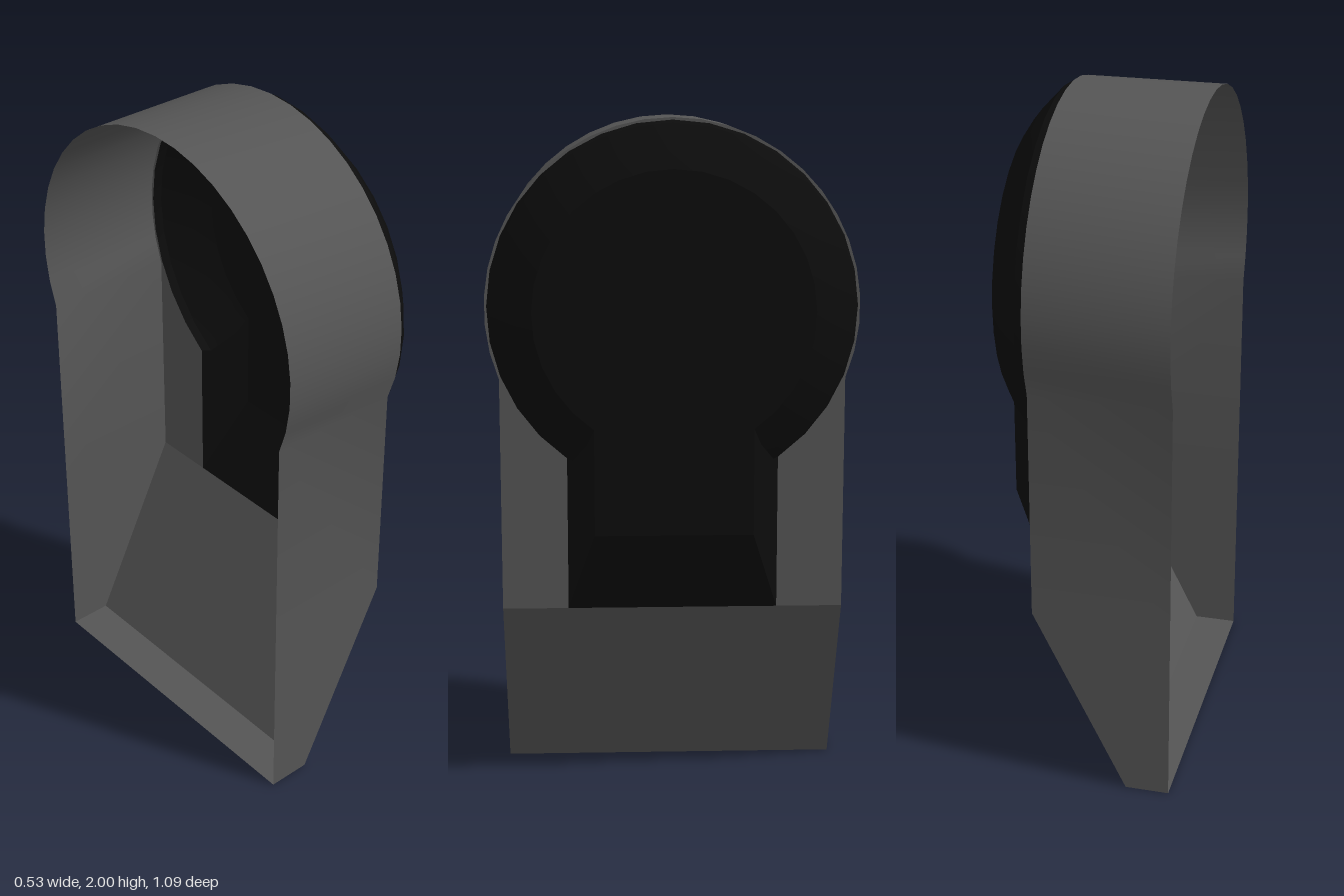
import * as THREE from 'three';
import { toCreasedNormals } from 'three/addons/utils/BufferGeometryUtils.js';

// Local frame while building: x across, y up, z = depth towards the domed face.
const CENTRE_Y = 1.455, BACK = -0.27, FACE = 0.14, BEND_Y = 0.56;
const slopeDepth = (y) => Math.min(FACE, -0.14 + y / 2);

// Counter-clockwise outline: round head of radius r on a stem of half-width w.
function keyhole(r, w, bottoms, n = 26) {
  const a = -Math.acos(w / r);
  const points = bottoms.map((y) => [w, y]);
  for (let i = 0; i <= n; i++) {
    const t = a + ((Math.PI - 2 * a) * i) / n;
    points.push([r * Math.cos(t), CENTRE_Y + r * Math.sin(t)]);
  }
  return points.concat([...bottoms].reverse().map((y) => [-w, y]));
}

// Skin closed loops of [x, y, z] points, ordered from back to front.
function loft(loops) {
  const n = loops[0].length, index = [];
  for (let k = 0; k < loops.length - 1; k++) {
    for (let i = 0; i < n; i++) {
      const j = (i + 1) % n, a = k * n, b = a + n;
      index.push(a + i, a + j, b + j, a + i, b + j, b + i);
    }
  }
  const geometry = new THREE.BufferGeometry();
  geometry.setAttribute('position', new THREE.Float32BufferAttribute(loops.flat(2), 3));
  geometry.setIndex(index);
  return toCreasedNormals(geometry, 0.4);
}

export function createModel() {
  const group = new THREE.Group();
  const grey = new THREE.MeshStandardMaterial({ color: 0x555555, side: THREE.DoubleSide });
  const black = new THREE.MeshStandardMaterial({ color: 0x0c0c0c, side: THREE.DoubleSide });
  const body = new THREE.Group();
  body.rotation.y = Math.PI / 2;
  group.add(body);
  const add = (name, geometry, material) => {
    const mesh = new THREE.Mesh(geometry, material);
    mesh.name = name;
    body.add(mesh);
  };
  const flat = (points) =>
    new THREE.ShapeGeometry(new THREE.Shape(points.map(([x, y]) => new THREE.Vector2(x, y))));

  // Side wall and floor of the shell, open at the back
  const outline = keyhole(0.545, 0.505, [0, BEND_Y]);
  add('shellWall', loft([
    outline.map(([x, y]) => [x, y, BACK]),
    outline.map(([x, y]) => [x, y, slopeDepth(y)]),
  ]), grey);

  // Flat face around the keyhole opening
  const upper = keyhole(0.545, 0.505, [BEND_Y]);
  const opening = keyhole(0.538, 0.31, [BEND_Y]);
  add('facePlate', flat([...upper, ...opening.reverse()]).translate(0, 0, FACE), grey);

  // Sloping lower face
  const slope = flat([[-0.505, 0], [0.505, 0], [0.505, BEND_Y], [-0.505, BEND_Y]]);
  const p = slope.attributes.position;
  for (let i = 0; i < p.count; i++) p.setZ(i, slopeDepth(p.getY(i)));
  slope.computeVertexNormals();
  add('slopingFace', slope, grey);

  // Raised keyhole cover: rounded head rim, chamfered stem, flat front
  const levels = [[0.14, 0.538], [0.165, 0.53], [0.23, 0.46], [0.265, 0.405]].map(([z, r]) => {
    const t = (z - FACE) / 0.125;
    return keyhole(r, 0.31 - 0.08 * t, [BEND_Y + 0.25 * t]).map(([x, y]) => [x, y, z]);
  });
  const front = levels[levels.length - 1];
  const neckY = front[1][1];
  levels.push(front.map(() => [0, neckY, 0.265]));
  add('keyholeCover', loft(levels), black);

  return group;
}
